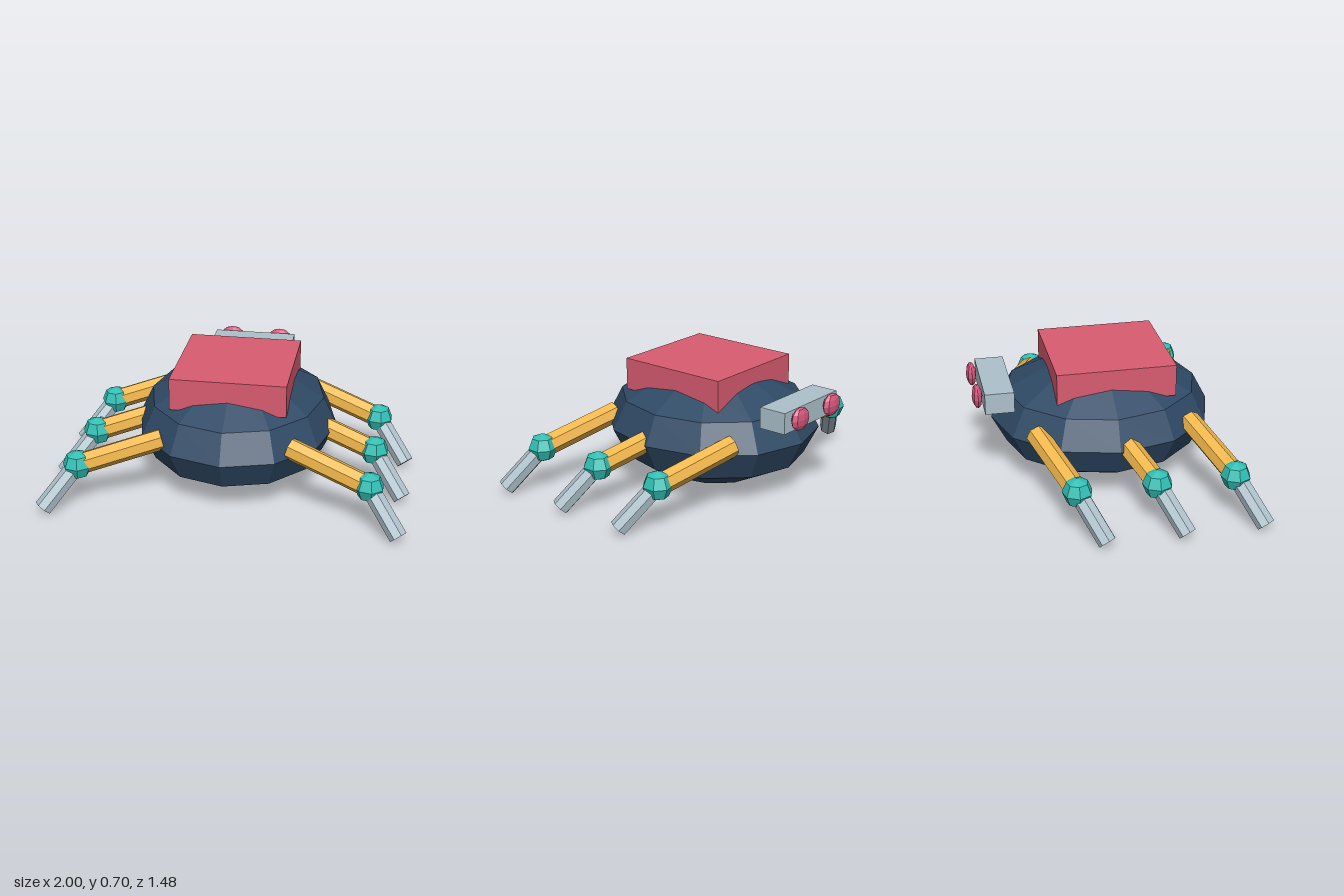
import * as THREE from 'three';

const paint = (color) => new THREE.MeshStandardMaterial({ color, flatShading: true });
const NAVY = paint(0x2f4a66), RED = paint(0xd85c70), GOLD = paint(0xf0b64a);
const TEAL = paint(0x30bfb4), STEEL = paint(0xadc1cb), PINK = paint(0xd8587f);

function add(parent, name, geometry, material, x, y, z) {
  const mesh = new THREE.Mesh(geometry, material);
  mesh.name = name;
  mesh.position.set(x, y, z);
  parent.add(mesh);
  return mesh;
}

// Seven-sided rod between two points
function rod(parent, name, from, to, radius, material) {
  const a = new THREE.Vector3(...from), b = new THREE.Vector3(...to);
  const dir = b.clone().sub(a);
  const mid = a.clone().add(b).multiplyScalar(0.5);
  const mesh = add(parent, name, new THREE.CylinderGeometry(radius, radius, dir.length(), 7),
    material, mid.x, mid.y, mid.z);
  mesh.quaternion.setFromUnitVectors(new THREE.Vector3(0, 1, 0), dir.normalize());
}

// Leg: thigh, knee ball and shin, all sweeping forward
function addLeg(parent, name, side, z) {
  const leg = new THREE.Group();
  leg.name = name;
  const knee = [side * 0.79, 0.255, 0];
  rod(leg, 'thigh', [side * 0.35, 0.375, -0.14], knee, 0.06, GOLD);
  add(leg, 'knee', new THREE.SphereGeometry(0.082, 7, 4), TEAL, ...knee);
  rod(leg, 'shin', knee, [side * 0.96, 0.037, 0.125], 0.05, STEEL);
  leg.position.z = z;
  parent.add(leg);
}

export function createModel() {
  const model = new THREE.Group();
  model.name = 'sixLeggedRobot';

  // Faceted oval body
  add(model, 'body', new THREE.SphereGeometry(1, 12, 6), NAVY, 0, 0.33, 0)
    .scale.set(0.565, 0.32, 0.625);

  // Block on the back
  add(model, 'backPack', new THREE.BoxGeometry(0.64, 0.18, 0.66), RED, 0, 0.61, 0.03);

  // Sensor bar with two flattened eyes
  add(model, 'sensorBar', new THREE.BoxGeometry(0.48, 0.118, 0.16), STEEL, 0, 0.525, -0.6);
  for (const [name, side] of [['left', 1], ['right', -1]]) {
    add(model, name + 'Eye', new THREE.SphereGeometry(1, 8, 6), PINK, side * 0.145, 0.537, -0.712)
      .scale.set(0.075, 0.064, 0.029);

    // Three legs per side
    for (const [place, z] of [['Front', 0.57], ['Middle', 0.145], ['Back', -0.28]]) {
      addLeg(model, name + place + 'Leg', side, z);
    }
  }
  return model;
}
